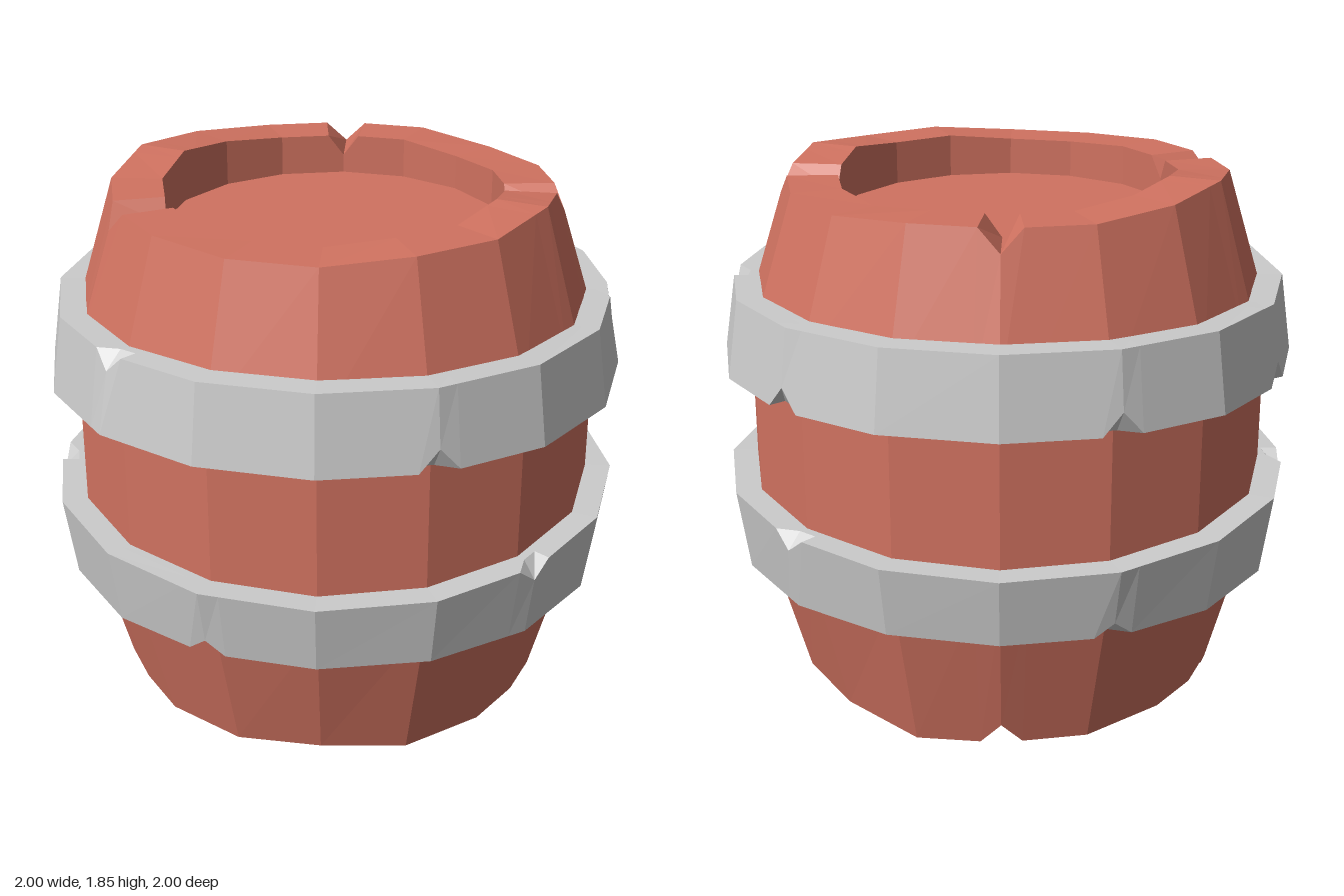
import * as THREE from 'three';

const SIDES = 16;
const WOOD = new THREE.MeshStandardMaterial({ color: 0xd07260, flatShading: true });
const METAL = new THREE.MeshStandardMaterial({ color: 0xcccccc, flatShading: true });

// Lofts a profile around the y axis. Each row maps a corner index to [radius, y].
// cuts: { row, corners, dr, dy } moves single corners of a row to make notches;
// two extra columns beside every cut corner keep each notch narrow.
function loft(rows, cuts, halfWidth) {
  const cutCorners = new Set(cuts.flatMap((c) => c.corners));
  const columns = [];
  for (let k = 0; k < SIDES; k++) {
    if (cutCorners.has(k)) columns.push(k - halfWidth, k, k + halfWidth);
    else columns.push(k);
  }

  const corner = (row, k, dr = 0, dy = 0) => {
    const i = (k + SIDES) % SIDES;
    const [r, y] = rows[row](i);
    const a = (i / SIDES) * Math.PI * 2;
    return new THREE.Vector3(Math.cos(a) * (r + dr), y + dy, Math.sin(a) * (r + dr));
  };
  const point = (row, u) => {
    const k = Math.floor(u);
    if (u !== k) return corner(row, k).lerp(corner(row, k + 1), u - k);
    const cut = cuts.find((c) => c.row === row && c.corners.includes(k));
    return cut ? corner(row, k, cut.dr, cut.dy) : corner(row, k);
  };

  const positions = [];
  const triangle = (a, b, c) => {
    const area = b.clone().sub(a).cross(c.clone().sub(a)).length();
    if (area > 1e-7) positions.push(...a, ...b, ...c);
  };
  for (let row = 0; row < rows.length - 1; row++) {
    columns.forEach((u, j) => {
      const v = columns[(j + 1) % columns.length];
      const a = point(row, u), b = point(row + 1, u);
      const c = point(row, v), d = point(row + 1, v);
      triangle(a, b, c);
      triangle(b, d, c);
    });
  }
  const geometry = new THREE.BufferGeometry();
  geometry.setAttribute('position', new THREE.Float32BufferAttribute(positions, 3));
  geometry.computeVertexNormals();
  return geometry;
}

// Wooden body with recessed lids and uneven, notched rims
function createBody() {
  const top = [1.8, 1.81, 1.845, 1.82, 1.82, 1.8, 1.8, 1.81, 1.81, 1.82, 1.85, 1.83, 1.81, 1.81, 1.81, 1.79];
  const bottom = [0.05, 0.05, 0.03, 0.03, 0.02, 0.05, 0.03, 0.03, 0.03, 0.04, 0.03, 0.04, 0.02, 0.02, 0, 0.04];
  const rows = [
    () => [0, 0.14],
    () => [0.585, 0.14],
    (k) => [0.585, bottom[k]],
    (k) => [0.76, bottom[k]],
    () => [0.91, 0.6],
    () => [0.91, 1.33],
    (k) => [0.76, top[k]],
    (k) => [0.585, top[k]],
    () => [0.585, 1.67],
    () => [0, 1.67],
  ];
  const topNotches = [1, 8, 13], bottomNotches = [2, 8, 10, 13];
  const cuts = [
    { row: 2, corners: bottomNotches, dr: 0, dy: 0.08 },
    { row: 3, corners: bottomNotches, dr: 0.02, dy: 0.08 },
    { row: 6, corners: topNotches, dr: 0.02, dy: -0.075 },
    { row: 7, corners: topNotches, dr: 0, dy: -0.075 },
  ];
  return new THREE.Mesh(loft(rows, cuts, 0.245), WOOD);
}

// Metal hoop with slanted outside, wavy edges and chipped corners
function createHoop({ yBottom, yTop, rBottom, rTop, waveBottom, waveTop, cuts }) {
  const wave = (k) => Math.sin(((k - 3) * Math.PI) / 4);
  const low = (k) => yBottom + waveBottom * wave(k);
  const high = (k) => yTop + waveTop * wave(k);
  const rows = [
    (k) => [0.84, low(k)],
    (k) => [rBottom - 0.06, low(k)],
    (k) => [rBottom, low(k)],
    (k) => [rTop, high(k)],
    (k) => [rTop - 0.06, high(k)],
    (k) => [0.84, high(k)],
  ];
  return new THREE.Mesh(loft(rows, cuts, 0.18), METAL);
}

export function createModel() {
  const barrel = new THREE.Group();
  barrel.name = 'barrel';

  const body = createBody();
  body.name = 'body';

  const upperHoop = createHoop({
    yBottom: 1.195, yTop: 1.465, rBottom: 1, rTop: 0.96, waveBottom: 0.013, waveTop: 0.012,
    cuts: [
      { row: 2, corners: [4, 10, 12, 15], dr: -0.015, dy: 0.075 },
      { row: 3, corners: [1], dr: 0.01, dy: -0.13 },
      { row: 3, corners: [7], dr: 0, dy: -0.06 },
    ],
  });
  upperHoop.name = 'upperHoop';

  const lowerHoop = createHoop({
    yBottom: 0.49, yTop: 0.757, rBottom: 0.96, rTop: 1, waveBottom: 0.01, waveTop: -0.014,
    cuts: [
      { row: 2, corners: [6, 12], dr: 0, dy: 0.05 },
      { row: 3, corners: [3, 9, 15], dr: -0.01, dy: -0.055 },
    ],
  });
  lowerHoop.name = 'lowerHoop';

  barrel.add(body, upperHoop, lowerHoop);
  return barrel;
}
